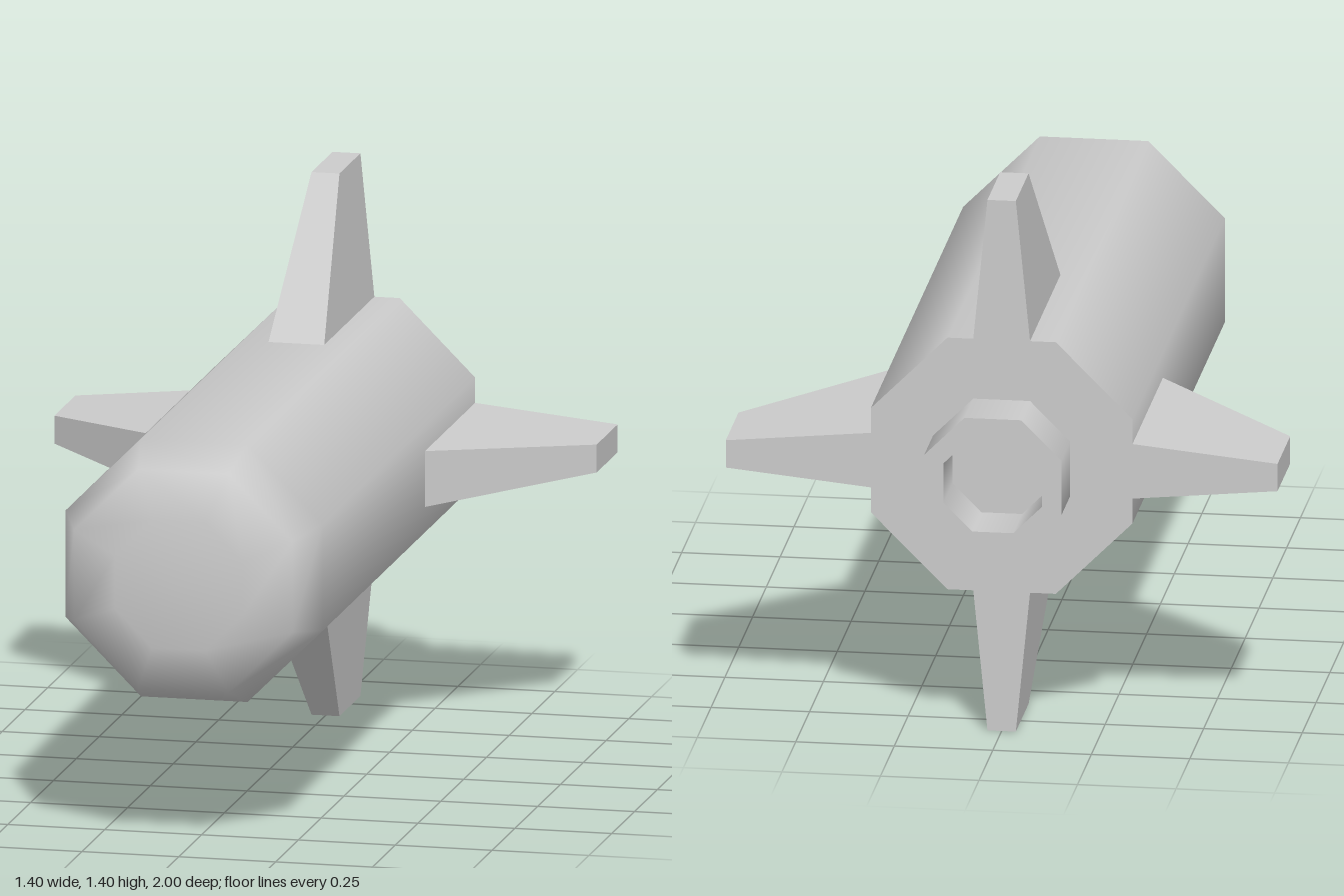
import * as THREE from 'three';

const SIDES = 8;
const toCorner = 1 / Math.cos(Math.PI / SIDES); // flat-to-flat radius -> corner radius
const material = new THREE.MeshStandardMaterial({ color: 0xcccccc });

// Octagonal shell along z from [flatRadius, z] points, flats facing up, down and sideways
function shell(points) {
  const profile = points.map(([r, z]) => new THREE.Vector2(r * toCorner, z));
  const geometry = new THREE.LatheGeometry(profile, SIDES, Math.PI / SIDES);
  return geometry.rotateX(Math.PI / 2);
}

// Fin growing along +y, tapered in thickness and swept at its front edge
function finGeometry() {
  const root = { y: 0.332, half: 0.072, front: -0.29 };
  const tip = { y: 0.7, half: 0.036, front: -0.61 };
  const geometry = new THREE.BoxGeometry(1, 1, 1);
  const p = geometry.attributes.position;
  for (let i = 0; i < p.count; i++) {
    const end = p.getY(i) > 0 ? tip : root;
    p.setXYZ(i, Math.sign(p.getX(i)) * end.half, end.y, p.getZ(i) > 0 ? end.front : -0.84);
  }
  geometry.computeVertexNormals();
  return geometry;
}

export function createModel() {
  const model = new THREE.Group();
  model.name = 'finnedRocket';
  const add = (name, geometry) => {
    const mesh = new THREE.Mesh(geometry, material);
    mesh.name = name;
    mesh.position.y = 0.7;
    model.add(mesh);
    return mesh;
  };

  // Body with rounded nose, closed by a flat rear plate
  add('body', shell([[0.332, -0.84], [0.332, 0.83], [0.282, 0.95], [0.165, 1], [0, 1]]));
  add('rearPlate', shell([[0, -0.84], [0.332, -0.84]]));

  // Hollow nozzle: separate shells keep the rim edges sharp
  add('nozzleOuterWall', shell([[0.174, -1], [0.174, -0.84]]));
  add('nozzleRim', shell([[0.125, -1], [0.174, -1]]));
  add('nozzleInnerWall', shell([[0.125, -0.84], [0.125, -1]]));

  // Four fins around the tail
  const fin = finGeometry();
  ['topFin', 'rightFin', 'bottomFin', 'leftFin'].forEach((name, i) => {
    add(name, fin).rotation.z = (i * Math.PI) / 2;
  });

  return model;
}
